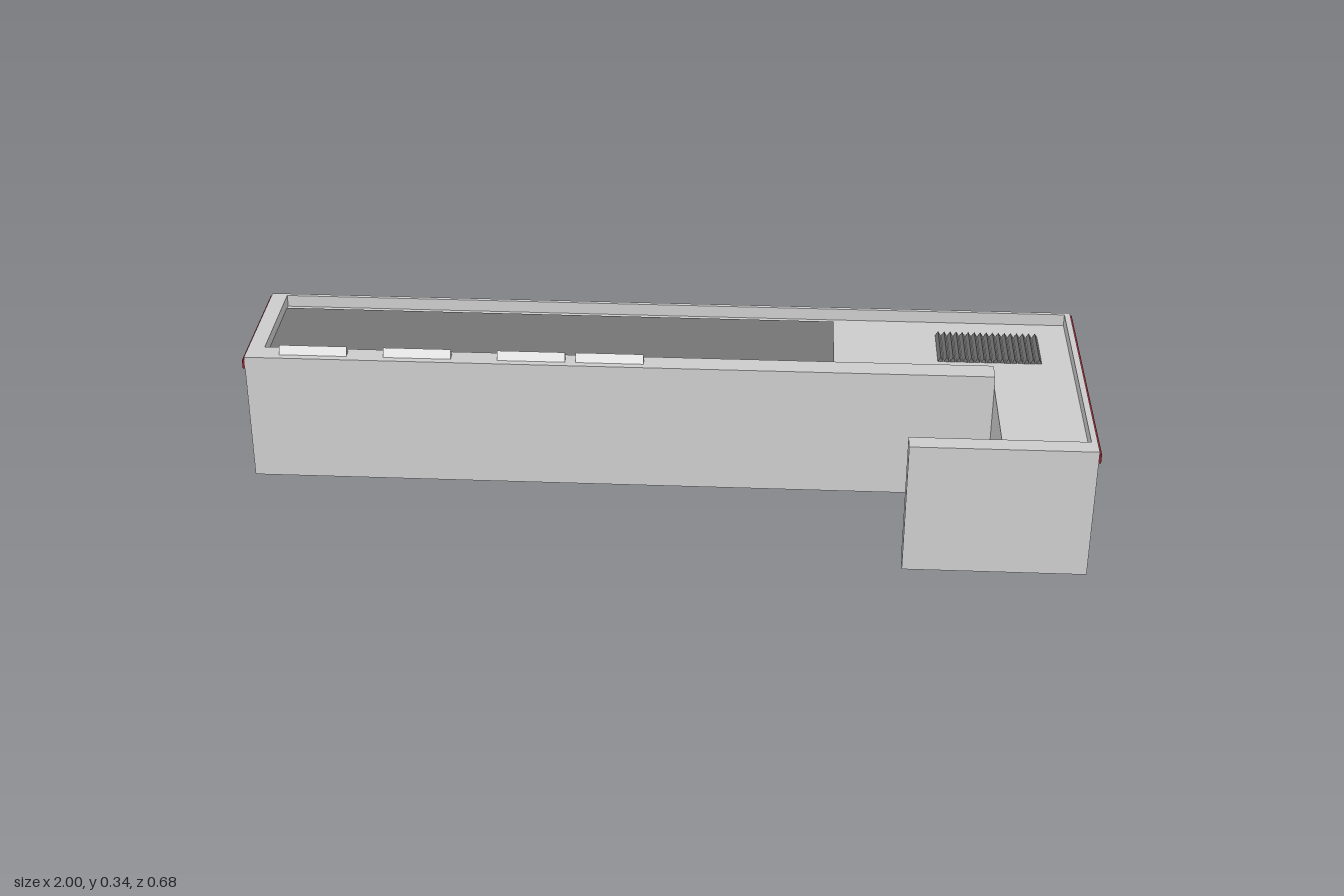
import * as THREE from 'three';

const grey = new THREE.MeshStandardMaterial({ color: 0xcccccc });
const red = new THREE.MeshStandardMaterial({ color: 0x85202c });
const dark = new THREE.MeshStandardMaterial({ color: 0x747474 });

// Box given by its limits on each axis
function box(parent, name, [x0, x1], [y0, y1], [z0, z1], material = grey) {
  const mesh = new THREE.Mesh(new THREE.BoxGeometry(x1 - x0, y1 - y0, z1 - z0), material);
  mesh.position.set((x0 + x1) / 2, (y0 + y1) / 2, (z0 + z1) / 2);
  mesh.name = name;
  parent.add(mesh);
  return mesh;
}

function rectangle(target, x0, x1, y0, y1) {
  target.moveTo(x0, y0);
  target.lineTo(x1, y0);
  target.lineTo(x1, y1);
  target.lineTo(x0, y1);
  target.closePath();
  return target;
}

// Triangular ridge lying along x, centred on its base
function ridge(length, width, height) {
  const s = new THREE.Shape();
  s.moveTo(-width / 2, 0);
  s.lineTo(width / 2, 0);
  s.lineTo(0, height);
  s.closePath();
  const g = new THREE.ExtrudeGeometry(s, { depth: length, bevelEnabled: false });
  g.translate(0, 0, -length / 2);
  g.rotateY(Math.PI / 2);
  return g;
}

export function createModel() {
  const model = new THREE.Group();
  model.name = 'barCounter';
  const side = 0.994, back = -0.335, front = 0.341;
  const worktop = 0.295, rim = 0.325;

  // Carcass with open compartments on the working side
  const outline = rectangle(new THREE.Shape(), -0.985, side, 0, worktop);
  const low = 0.03, high = 0.27, shelfLow = 0.143, shelfHigh = 0.157;
  for (const [x0, x1] of [[0.165, 0.42], [-0.125, 0.135], [-0.41, -0.16]]) {
    outline.holes.push(rectangle(new THREE.Path(), x0, x1, low, shelfLow));
    outline.holes.push(rectangle(new THREE.Path(), x0, x1, shelfHigh, high));
  }
  outline.holes.push(rectangle(new THREE.Path(), -0.82, -0.445, low, high));
  const carcass = new THREE.Mesh(
    new THREE.ExtrudeGeometry(outline, { depth: 0.26, bevelEnabled: false }), grey);
  carcass.position.z = back;
  carcass.name = 'shelfCarcass';
  model.add(carcass);
  box(model, 'carcassRear', [-0.985, side], [0, worktop], [back + 0.26, -0.05]);

  // Customer side panel, side wing and its short return
  box(model, 'frontPanel', [-side, 0.787], [0, rim], [-0.05, 0.005]);
  box(model, 'wing', [0.787, side], [0, worktop], [-0.05, 0.297]);
  box(model, 'returnPanel', [0.573, side], [0, rim], [0.297, front]);

  // Frame around the recessed end panel
  box(model, 'endFramePost', [-side, -0.985], [0, worktop], [back, back + 0.018]);
  box(model, 'endFrameBase', [-side, -0.985], [0, 0.012], [back + 0.018, -0.05]);
  box(model, 'endFrameTop', [-side, -0.985], [0.283, worktop], [back + 0.018, -0.05]);

  // Raised rims around the worktop
  box(model, 'endRim', [-side, -0.955], [worktop, rim], [back, -0.05]);
  box(model, 'backRim', [-0.955, side], [worktop, rim], [back, -0.325]);
  box(model, 'sideRim', [0.98, side], [worktop, rim], [-0.325, 0.297]);

  // Red trim band
  const band = [0.293, 0.316];
  box(model, 'backTrim', [-1, 1], band, [-0.341, back], red);
  box(model, 'rightTrim', [-1, -side], band, [back, 0.003], red);
  box(model, 'leftTrim', [side, 1], band, [back, 0.335], red);

  // Tilted lips above the compartments and on the shelves
  for (const [x0, x1, y] of [[-0.82, 0.42, 0.277], [-0.41, 0.42, 0.15]]) {
    const lip = box(model, 'shelfLip', [x0, x1], [y - 0.008, y + 0.008], [-0.339, -0.337]);
    lip.rotation.x = 0.4;
  }

  // Dark work mat
  box(model, 'workMat', [-0.955, 0.412], [worktop, 0.298], [-0.31, -0.065], dark);

  // Ridged drain grille
  const grille = new THREE.Group();
  grille.name = 'drainGrille';
  model.add(grille);
  const count = 17, pitch = 0.25 / count;
  const slat = ridge(0.135, pitch * 0.9, 0.012);
  slat.rotateY(Math.PI / 2);
  for (let i = 0; i < count; i++) {
    const mesh = new THREE.Mesh(slat, dark);
    mesh.position.set(0.66 + (i + 0.5) * pitch, worktop, -0.188);
    mesh.name = 'grilleSlat';
    grille.add(mesh);
  }

  // Small triangular stands on the front ledge
  const stand = ridge(0.162, 0.024, 0.02);
  for (const x of [-0.832, -0.582, -0.309, -0.122]) {
    const mesh = new THREE.Mesh(stand, grey);
    mesh.position.set(x, rim, -0.024);
    mesh.name = 'ledgeStand';
    model.add(mesh);
  }
  return model;
}
